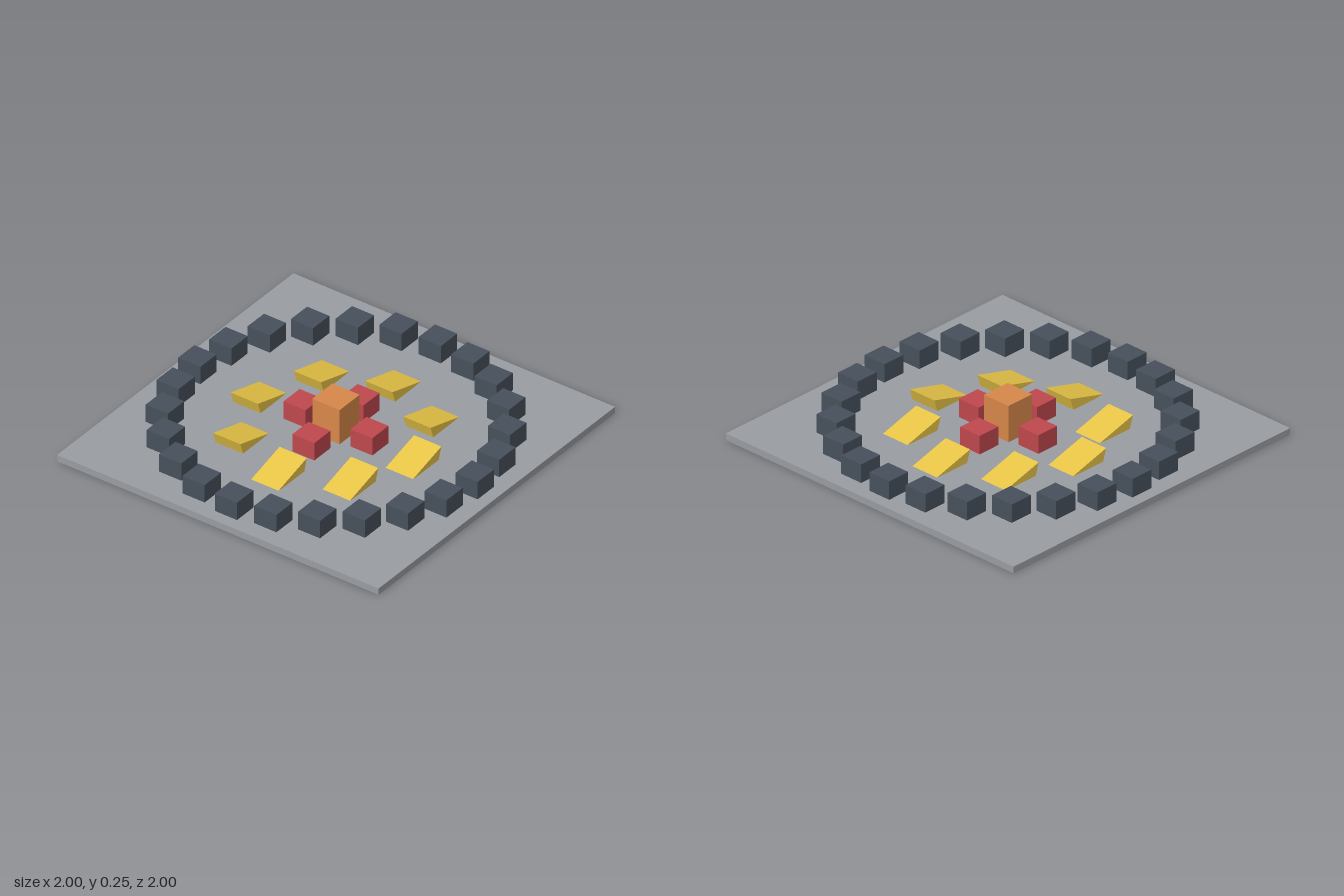
import * as THREE from 'three';

const BASE_TOP = 0.038;

function material(color) {
  return new THREE.MeshStandardMaterial({ color, flatShading: true });
}

const grey = material(0x9a9da3);
const slate = material(0x47515c);
const yellow = material(0xe8c547);
const orange = material(0xd9884a);
const red = material(0xc0484e);

export function createModel() {
  const model = new THREE.Group();

  function add(name, geometry, mat, x, y, z) {
    const mesh = new THREE.Mesh(geometry, mat);
    mesh.name = name;
    mesh.position.set(x, y, z);
    model.add(mesh);
    return mesh;
  }

  // Box standing on the base plate
  function block(name, mat, width, height, x, z) {
    add(name, new THREE.BoxGeometry(width, height, width), mat, x, BASE_TOP + height / 2, z);
  }

  // Square base plate
  add('basePlate', new THREE.BoxGeometry(2, BASE_TOP, 2), grey, 0, BASE_TOP / 2, 0);

  // Outer ring of blocks, all square to the plate
  for (let i = 0; i < 24; i++) {
    const a = (i / 24) * Math.PI * 2;
    block('ringBlock', slate, 0.138, 0.105, 0.862 * Math.sin(a), 0.862 * Math.cos(a));
  }

  // Central tower with four small blocks around it
  block('centreTower', orange, 0.17, 0.207, 0, 0);
  for (let i = 0; i < 4; i++) {
    const a = (i / 4) * Math.PI * 2;
    block('innerBlock', red, 0.136, 0.105, 0.208 * Math.sin(a), 0.208 * Math.cos(a));
  }

  // Ramp: triangular profile, thin edge at -z, raised edge at +z
  const profile = new THREE.Shape([
    new THREE.Vector2(-0.12, BASE_TOP + 0.003),
    new THREE.Vector2(0.095, 0.03),
    new THREE.Vector2(0.12, 0.107),
  ]);
  const ramp = new THREE.ExtrudeGeometry(profile, { depth: 0.17, bevelEnabled: false });
  ramp.translate(0, 0, -0.085);
  ramp.rotateY(-Math.PI / 2);

  // Ring of ramps; those towards +x and +z are turned round
  for (let i = 0; i < 8; i++) {
    const a = (i / 8) * Math.PI * 2;
    const x = 0.482 * Math.sin(a);
    const z = 0.482 * Math.cos(a);
    const mesh = add('ramp', ramp, yellow, x, 0, z);
    if (x + z > 0.1) mesh.rotation.y = Math.PI;
  }

  return model;
}
